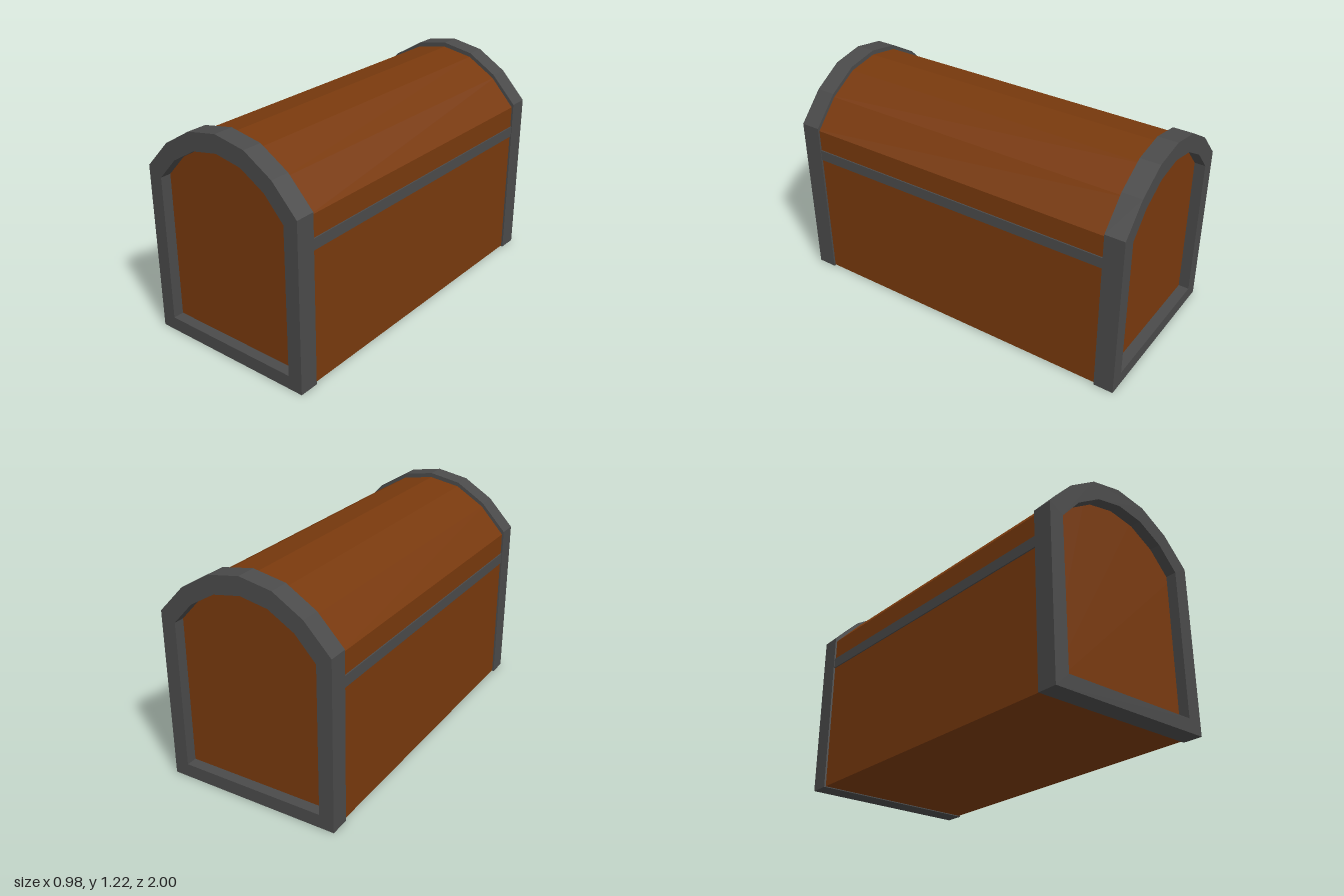
import * as THREE from 'three';

const wood = new THREE.MeshStandardMaterial({ color: 0x78390d, flatShading: true });
const iron = new THREE.MeshStandardMaterial({ color: 0x4a4a4a, flatShading: true });

// Arched outline: flat bottom, straight sides and a faceted top.
// arch lists the right half, from the eave up to the ridge.
function outline(bottom, arch) {
  const left = arch.slice(0, -1).reverse().map(([x, y]) => [-x, y]);
  const [eaveX] = arch[0];
  return [[-eaveX, bottom], [eaveX, bottom], ...arch, ...left]
    .map(([x, y]) => new THREE.Vector2(x, y));
}

// Outline extruded along z, centred on z.
function extrude(shape, depth, z, material, name) {
  const geometry = new THREE.ExtrudeGeometry(shape, { depth, bevelEnabled: false });
  geometry.translate(0, 0, z - depth / 2);
  const mesh = new THREE.Mesh(geometry, material);
  mesh.name = name;
  return mesh;
}

export function createModel() {
  const chest = new THREE.Group();
  chest.name = 'chest';

  // Wooden body with arched lid, its ends recessed in the frames
  const bodyShape = new THREE.Shape(
    outline(0.005, [[0.48, 0.92], [0.34, 1.07], [0.177, 1.167], [0, 1.197]]));
  chest.add(extrude(bodyShape, 1.88, 0, wood, 'body'));

  // Iron frame around each end
  const frameShape = new THREE.Shape(
    outline(0, [[0.49, 0.937], [0.345, 1.09], [0.18, 1.19], [0, 1.222]]));
  frameShape.holes.push(new THREE.Path(
    outline(0.075, [[0.408, 0.89], [0.295, 1.013], [0.153, 1.097], [0, 1.125]])));
  chest.add(extrude(frameShape, 0.11, 0.945, iron, 'frontFrame'));
  chest.add(extrude(frameShape, 0.11, -0.945, iron, 'backFrame'));

  // Iron strip along each side, below the lid
  for (const [side, name] of [[1, 'leftStrip'], [-1, 'rightStrip']]) {
    const strip = new THREE.Mesh(new THREE.BoxGeometry(0.02, 0.06, 1.8), iron);
    strip.position.set(side * 0.477, 0.77, 0);
    strip.name = name;
    chest.add(strip);
  }
  return chest;
}
